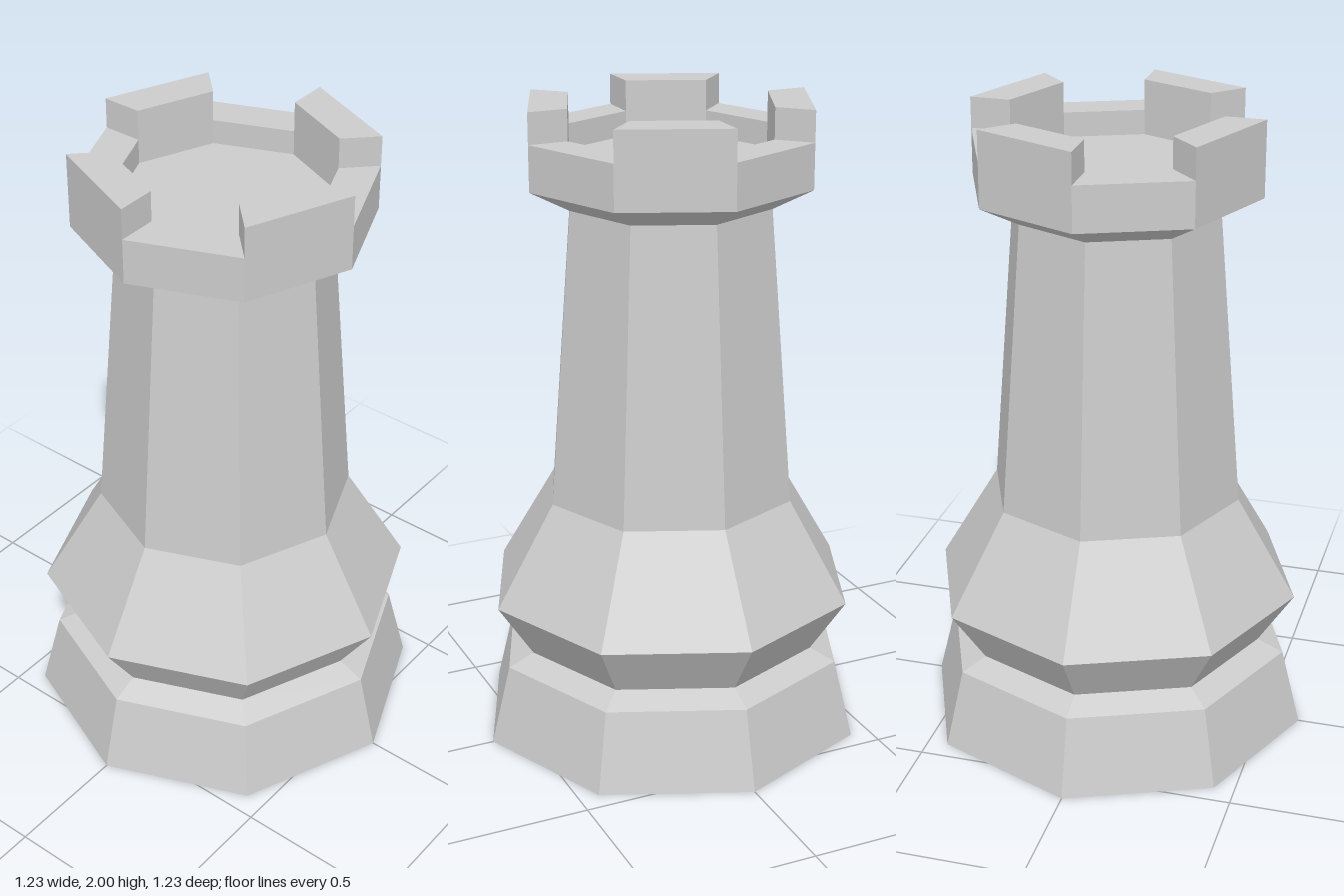
import * as THREE from 'three';

const SIDES = 8;
const STEP = (Math.PI * 2) / SIDES;
const RIM_OUTER = 0.448, RIM_INNER = 0.325;
const RIM_TOP = 1.905, FLOOR = 1.828, TOP = 2;

const material = new THREE.MeshStandardMaterial({ color: 0xcccccc, flatShading: true });

function addMesh(parent, name, geometry) {
  const mesh = new THREE.Mesh(geometry, material);
  mesh.name = name;
  parent.add(mesh);
  return mesh;
}

// Eight-sided turned section from [radius, height] pairs, corners on the axes
function turned(profile) {
  return new THREE.LatheGeometry(profile.map(([r, y]) => new THREE.Vector2(r, y)), SIDES);
}

// Wall block filling one side of the octagonal rim, with radial ends
function merlonGeometry() {
  const corner = (r, a) => new THREE.Vector2(r * Math.sin(a), -r * Math.cos(a));
  const shape = new THREE.Shape([
    corner(RIM_OUTER, STEP), corner(RIM_OUTER, 2 * STEP),
    corner(RIM_INNER, 2 * STEP), corner(RIM_INNER, STEP),
  ]);
  const geometry = new THREE.ExtrudeGeometry(shape, { depth: TOP - RIM_TOP, bevelEnabled: false });
  return geometry.rotateX(-Math.PI / 2).translate(0, RIM_TOP, 0);
}

export function createModel() {
  const tower = new THREE.Group();
  tower.name = 'rookChessPiece';

  // Foot with closed underside and sloping ledge
  addMesh(tower, 'foot', turned([[0, 0], [0.617, 0], [0.555, 0.25], [0.473, 0.285]]));

  // Flared collar above the foot
  addMesh(tower, 'collar', turned([[0.473, 0.285], [0.585, 0.457], [0.397, 0.777]]));

  // Tapering shaft
  addMesh(tower, 'shaft', turned([[0.397, 0.777], [0.323, 1.698]]));

  // Overhanging turret with rim and sunken floor
  addMesh(tower, 'turret', turned([
    [0.323, 1.698], [RIM_OUTER, 1.765], [RIM_OUTER, RIM_TOP],
    [RIM_INNER, RIM_TOP], [RIM_INNER, FLOOR], [0, FLOOR],
  ]));

  // Merlons on every other side
  const battlements = new THREE.Group();
  battlements.name = 'battlements';
  const merlon = merlonGeometry();
  for (let i = 0; i < SIDES / 2; i++) {
    addMesh(battlements, `merlon${i + 1}`, merlon).rotation.y = i * 2 * STEP;
  }
  tower.add(battlements);

  return tower;
}
